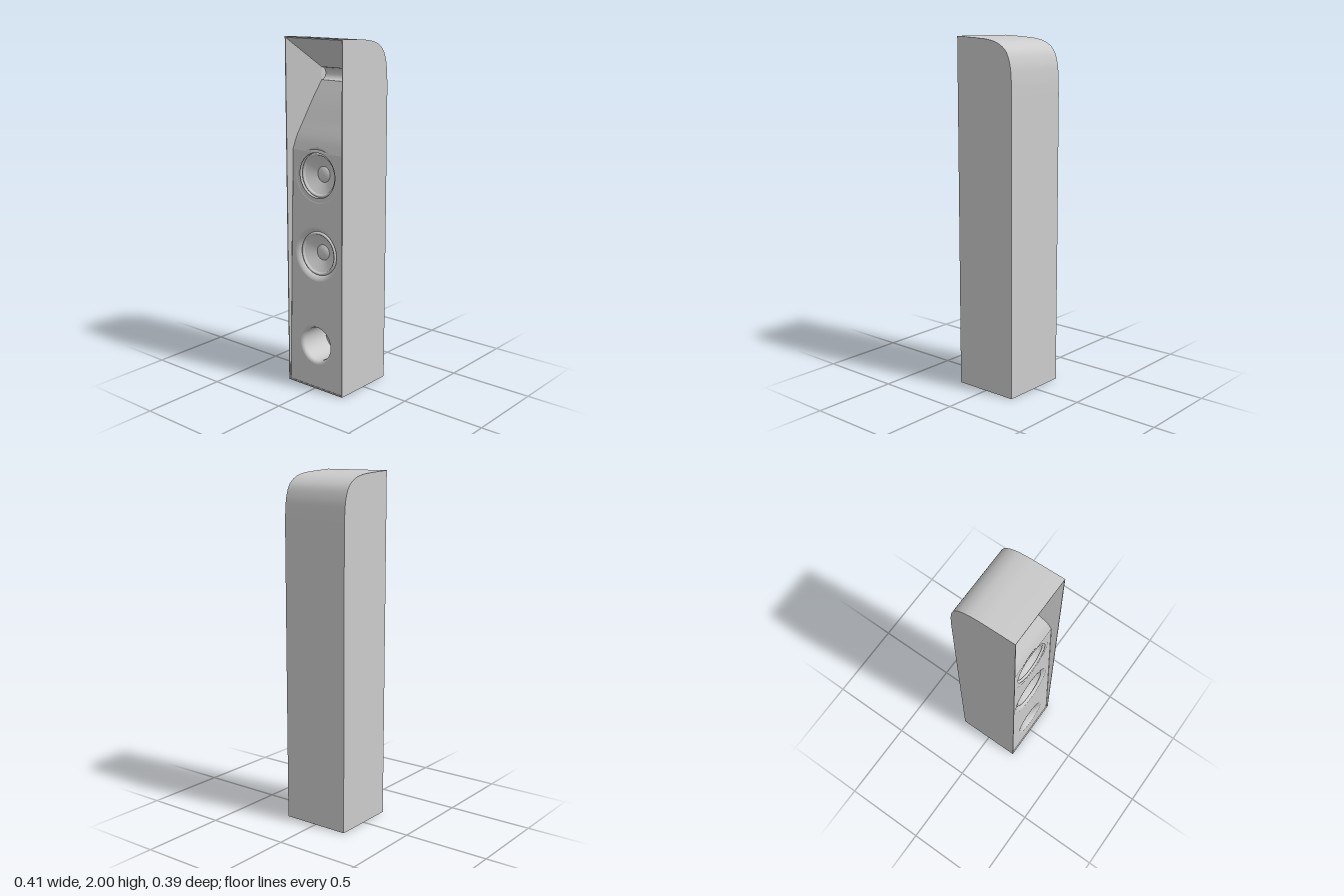
import * as THREE from 'three';

const W = 0.203, FRONT = 0.195, BEND = 1.38, THROAT = 0.174;
const THROAT_LOW = 1.76, THROAT_HIGH = 1.83;
const SILL = 0.006, RIM_TOP = 1.994;

const material = new THREE.MeshStandardMaterial({ color: 0xcccccc, side: THREE.DoubleSide });

// Depth of the leaning baffle behind the rim, and half width of the horn at a depth
const baffleDepth = (y) => 0.006 + 0.024 * (y / BEND);
const halfWidth = (d) => 0.198 - 0.62 * d;

function add(group, name, geometry) {
  const mesh = new THREE.Mesh(geometry, material);
  mesh.name = name;
  group.add(mesh);
  return mesh;
}

// Ruled surface across the cabinet; each row is [y, z, half width]
function ribbon(rows) {
  const pos = [], index = [];
  rows.forEach(([y, z, w], i) => {
    pos.push(-w, y, z, w, y, z);
    if (i) {
      const a = 2 * i - 2;
      index.push(a, a + 1, a + 3, a, a + 3, a + 2);
    }
  });
  const g = new THREE.BufferGeometry();
  g.setAttribute('position', new THREE.Float32BufferAttribute(pos, 3));
  g.setIndex(index);
  g.computeVertexNormals();
  return g;
}

// Move the vertices of a flat shape by a rule, then refresh the normals
function mapped(shape, rule) {
  const g = new THREE.ShapeGeometry(shape, 48);
  const p = g.attributes.position;
  for (let i = 0; i < p.count; i++) p.setXYZ(i, ...rule(p.getX(i), p.getY(i)));
  g.computeVertexNormals();
  return g;
}

function lathe(points) {
  const g = new THREE.LatheGeometry(points.map(([r, h]) => new THREE.Vector2(r, h)), 64);
  return g.rotateX(Math.PI / 2);
}

function circlePath(y, r) {
  return new THREE.Path().absarc(0, y, r, 0, Math.PI * 2, true);
}

// Group lying on the leaning baffle at a height
function onBaffle(name, y) {
  const g = new THREE.Group();
  g.name = name;
  g.position.set(0, y, FRONT - baffleDepth(y));
  g.rotation.x = -Math.atan(0.024 / BEND);
  return g;
}

function makeDriver(name, y) {
  const g = onBaffle(name, y);
  add(g, 'driverRecess', lathe([[0.156, 0], [0.148, -0.002], [0.139, -0.008], [0.132, -0.016], [0.127, -0.024]]));
  add(g, 'driverSurround', lathe([[0.127, -0.024], [0.124, -0.016], [0.118, -0.012], [0.112, -0.015], [0.108, -0.024]]));
  add(g, 'driverCone', lathe([[0.108, -0.024], [0.08, -0.042], [0.045, -0.058]]));
  add(g, 'dustCap', lathe([[0.045, -0.058], [0.035, -0.051], [0.018, -0.046], [0, -0.045]]));
  return g;
}

export function createModel() {
  const model = new THREE.Group();
  model.name = 'floorStandingSpeaker';

  // Outer cabinet: rounded top and back, flat sides and base
  const crown = new THREE.CatmullRomCurve3([
    [1.68, -0.193], [1.78, -0.19], [1.86, -0.18], [1.925, -0.153],
    [1.965, -0.1], [1.984, -0.03], [1.993, 0.07], [2, FRONT],
  ].map(([y, z]) => new THREE.Vector3(0, y, z)), false, 'centripetal').getPoints(40);
  const outline = [[0, -0.194], [1.0, -0.194], ...crown.map((p) => [p.y, p.z])];
  add(model, 'topAndBack', ribbon(outline.map(([y, z]) => [y, z, W])));
  add(model, 'base', ribbon([[0, FRONT, W], [0, -0.194, W]]));
  const side = new THREE.Shape([[0, FRONT], ...outline].map(([y, z]) => new THREE.Vector2(z, y)));
  for (const s of [-1, 1]) {
    add(model, s > 0 ? 'leftSide' : 'rightSide', mapped(side, (z, y) => [s * W, y, z]));
  }

  // Thin front rim
  const rim = new THREE.Shape([[-W, 0], [W, 0], [W, 2], [-W, 2]].map((p) => new THREE.Vector2(...p)));
  const open = halfWidth(0);
  rim.holes.push(new THREE.Path([[-open, SILL], [-open, RIM_TOP], [open, RIM_TOP], [open, SILL]]
    .map((p) => new THREE.Vector2(...p))));
  add(model, 'frontRim', mapped(rim, (x, y) => [x, y, FRONT]));

  // Lower baffle with openings for the drivers and port
  const lowW = halfWidth(baffleDepth(SILL)), highW = halfWidth(baffleDepth(BEND));
  const baffle = new THREE.Shape([[-lowW, SILL], [lowW, SILL], [highW, BEND], [-highW, BEND]]
    .map((p) => new THREE.Vector2(...p)));
  // The upper opening stops at the bend, so the baffle plane runs just past it
  const driverHeights = [0.803, 1.252];
  baffle.holes.push(circlePath(0.265, 0.116), circlePath(driverHeights[0], 0.154), circlePath(driverHeights[1], 0.127));
  add(model, 'baffle', mapped(baffle, (x, y) => [x, y, FRONT - 0.001 - baffleDepth(y)]));
  add(model, 'sill', ribbon([[SILL, FRONT, open], [SILL, FRONT - baffleDepth(SILL), lowW]]));

  // Upper baffle sweeping back to the horn throat
  const sweep = new THREE.CatmullRomCurve3([
    [BEND, baffleDepth(BEND)], [1.45, 0.048], [1.54, 0.083], [1.65, 0.126], [THROAT_LOW, THROAT],
  ].map(([y, d]) => new THREE.Vector3(0, y, d))).getPoints(32);
  add(model, 'hornFloor', ribbon(sweep.map((p) => [p.y, FRONT - p.z, halfWidth(p.z)])));

  // Horn roof and side walls
  add(model, 'hornRoof', ribbon([[THROAT_HIGH, FRONT - THROAT, halfWidth(THROAT)], [RIM_TOP, FRONT, open]]));
  const wall = new THREE.Shape([
    [0, SILL], [baffleDepth(SILL), SILL], ...sweep.map((p) => [p.z, p.y]),
    [THROAT, THROAT_HIGH], [0, RIM_TOP],
  ].map((p) => new THREE.Vector2(...p)));
  for (const s of [-1, 1]) {
    add(model, s > 0 ? 'leftHornWall' : 'rightHornWall',
      mapped(wall, (d, y) => [s * halfWidth(d), y, FRONT - d]));
  }

  // Throat slot, closed by a hollow curved back
  const throatW = halfWidth(THROAT), slot = [];
  for (let i = 0; i <= 12; i++) {
    const t = (i / 12) * Math.PI, r = (THROAT_HIGH - THROAT_LOW) / 2;
    slot.push([THROAT_LOW + r - r * Math.cos(t), FRONT - THROAT - r * Math.sin(t)]);
  }
  add(model, 'throat', ribbon(slot.map(([y, z]) => [y, z, throatW])));
  const slotEnd = new THREE.Shape(slot.map(([y, z]) => new THREE.Vector2(z, y)));
  for (const s of [-1, 1]) add(model, 'throatEnd', mapped(slotEnd, (z, y) => [s * throatW, y, z]));

  // Two cone drivers
  model.add(makeDriver('lowerDriver', driverHeights[0]), makeDriver('upperDriver', driverHeights[1]));

  // Flared port
  const port = onBaffle('port', 0.265);
  add(port, 'portFlare', lathe([[0.118, 0], [0.11, -0.002], [0.103, -0.008], [0.098, -0.02], [0.098, -0.2]]));
  add(port, 'portEnd', new THREE.CircleGeometry(0.098, 64)).position.z = -0.2;
  model.add(port);

  return model;
}
